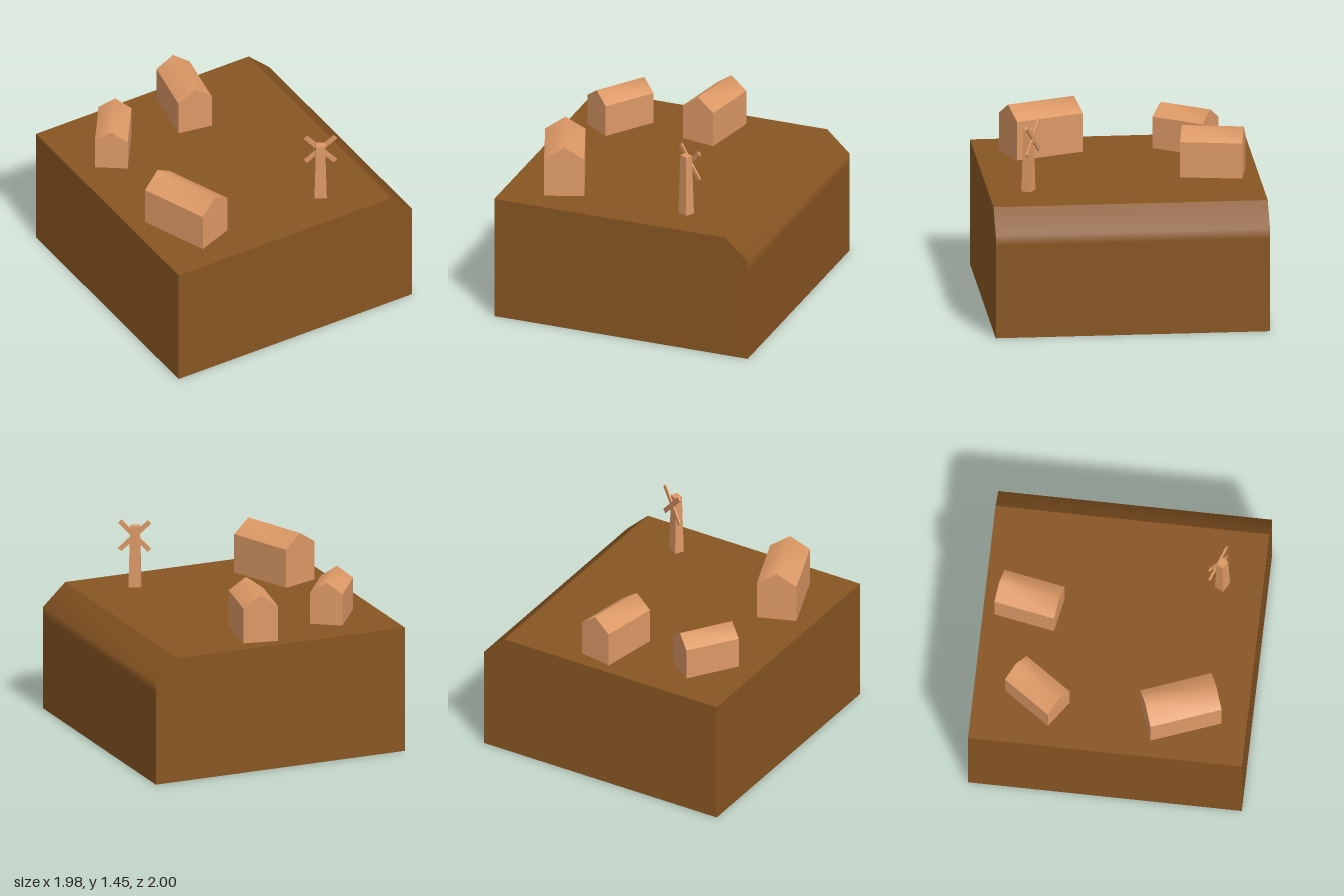
import * as THREE from 'three';
import { mergeGeometries } from 'three/addons/utils/BufferGeometryUtils.js';

const earth = new THREE.MeshStandardMaterial({ color: 0x885522, side: THREE.DoubleSide });
earth.name = 'earth brown';
const clay = new THREE.MeshStandardMaterial({ color: 0xdd9966, side: THREE.DoubleSide });
clay.name = 'clay';

// Sweeps an open profile along z; normals are smooth within one strip
function strip(points, depth) {
  const position = [], index = [];
  points.forEach(([x, y], i) => {
    position.push(x, y, depth / 2, x, y, -depth / 2);
    if (i) {
      const a = 2 * i - 2;
      index.push(a, a + 2, a + 3, a, a + 3, a + 1);
    }
  });
  const g = new THREE.BufferGeometry();
  g.setAttribute('position', new THREE.Float32BufferAttribute(position, 3));
  g.setIndex(index);
  g.computeVertexNormals();
  return g;
}

// Prism without a floor: swept strips closed by a front and a back face
function prism(strips, depth) {
  const outline = strips.flat();
  const cap = (sign) => {
    const shape = new THREE.Shape(outline.map(([x, y]) => new THREE.Vector2(x * sign, y)));
    const g = new THREE.ShapeGeometry(shape);
    g.deleteAttribute('uv');
    if (sign < 0) g.rotateY(Math.PI);
    return g.translate(0, 0, sign * depth / 2);
  };
  return mergeGeometries([...strips.map((s) => strip(s, depth)), cap(1), cap(-1)]);
}

function mesh(name, geometry, material) {
  const m = new THREE.Mesh(geometry, material);
  m.name = name;
  return m;
}

const GROUND = 0.94;

// Gabled house with its ridge along local z
function house(name, { x, z, turn, width, length, eave, ridge }) {
  const w = width / 2;
  const m = mesh(name, prism([
    [[-w, 0], [-w, eave]],
    [[-w, eave], [0, ridge], [w, eave]],
    [[w, eave], [w, 0]],
  ], length), clay);
  m.position.set(x, GROUND, z);
  m.rotation.y = turn;
  return m;
}

function windmill() {
  const group = new THREE.Group();
  group.name = 'windmill';

  // Tapered square tower
  const height = 0.46;
  const tower = new THREE.BoxGeometry(0.09, height, 0.072);
  tower.translate(0, height / 2, 0);
  const p = tower.attributes.position;
  for (let i = 0; i < p.count; i++) {
    if (p.getY(i) > 0) {
      p.setX(i, p.getX(i) * 0.74);
      p.setZ(i, p.getZ(i) * 0.74);
    }
  }
  tower.computeVertexNormals();
  group.add(mesh('tower', tower, clay));

  // Two crossed sail bars on the back of the tower
  for (const side of [-1, 1]) {
    const sail = mesh('sail', new THREE.BoxGeometry(0.305, 0.034, 0.012), clay);
    sail.position.set(0, 0.395, -0.036);
    sail.rotation.z = side * Math.PI / 4;
    group.add(sail);
  }
  group.position.set(0.392, GROUND, 0.705);
  group.rotation.y = -0.51;
  return group;
}

export function createModel() {
  const model = new THREE.Group();
  model.name = 'village on a block of land';

  // Hollow land block, open below, with one softly shaded sloping edge
  model.add(mesh('land', prism([
    [[-0.99, 0], [-0.99, GROUND]],
    [[-0.99, GROUND], [0.815, GROUND]],
    [[0.815, GROUND], [0.99, 0.775], [0.99, 0.7], [0.99, 0]],
  ], 2), earth));

  model.add(
    house('frontLeftHouse', { x: -0.632, z: 0.516, turn: 0.363, width: 0.293, length: 0.533, eave: 0.29, ridge: 0.385 }),
    house('backLeftHouse', { x: -0.616, z: -0.536, turn: -0.61, width: 0.24, length: 0.415, eave: 0.237, ridge: 0.32 }),
    house('backHouse', { x: 0.067, z: -0.67, turn: -0.182, width: 0.258, length: 0.453, eave: 0.265, ridge: 0.358 }),
    windmill(),
  );
  return model;
}
